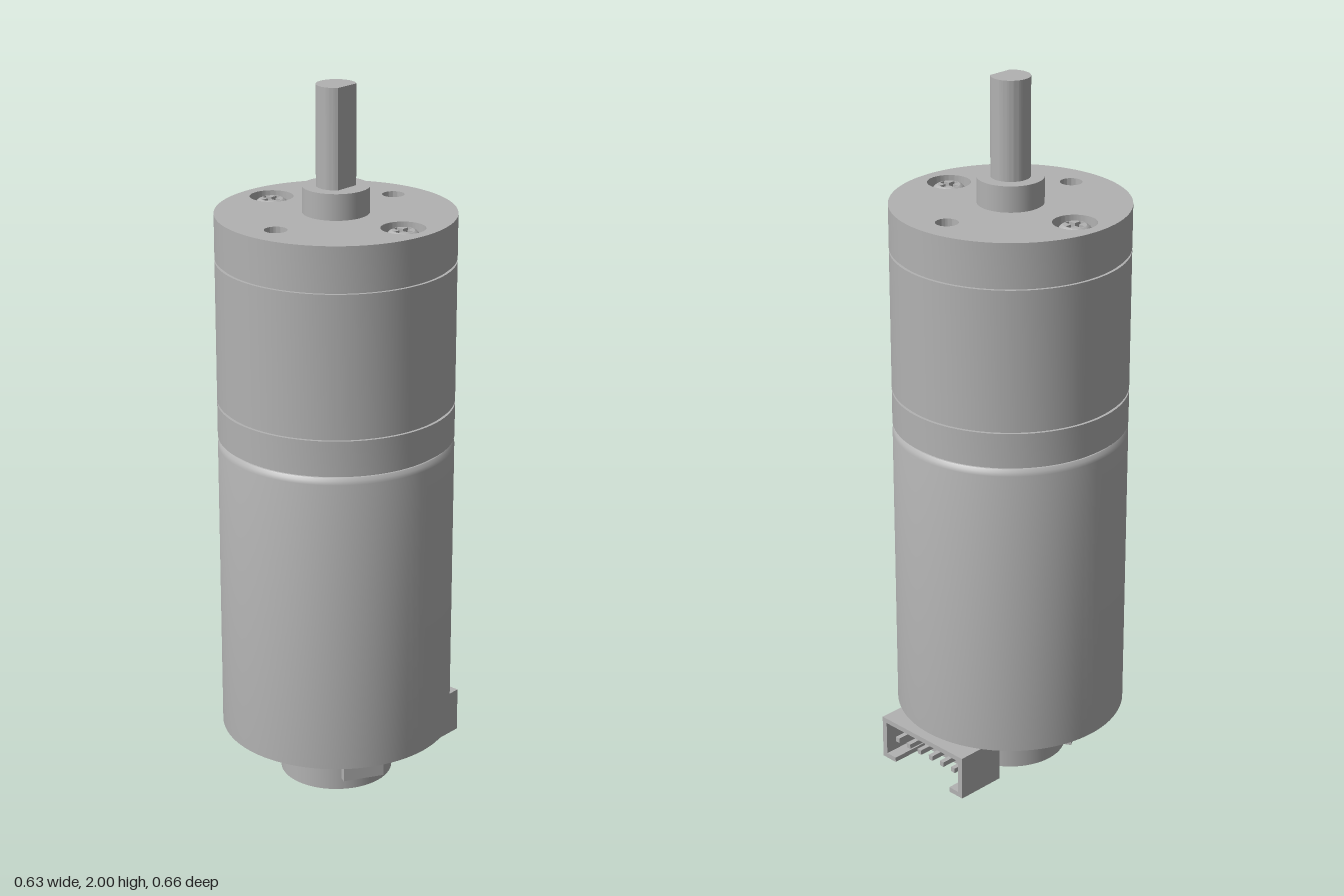
import * as THREE from 'three';
import { toCreasedNormals } from 'three/addons/utils/BufferGeometryUtils.js';

const metal = new THREE.MeshStandardMaterial({ color: 0xb2b2b2 });
metal.name = 'grey metal';

export function createModel() {
  const model = new THREE.Group();
  model.name = 'gearMotor';
  const axis = new THREE.Group();
  axis.name = 'motorAssembly';
  axis.position.z = 0.0125;
  model.add(axis);

  const add = (name, geometry, x = 0, y = 0, z = 0, parent = axis) => {
    const mesh = new THREE.Mesh(geometry, metal);
    mesh.name = name;
    mesh.position.set(x, y, z);
    parent.add(mesh);
    return mesh;
  };
  // Upright cylinder between two heights
  const rod = (name, r, y0, y1, x = 0, z = 0, seg = 32) =>
    add(name, new THREE.CylinderGeometry(r, r, y1 - y0, seg), x, (y0 + y1) / 2, z);
  const box = (name, w, h, d, x, y, z, parent) =>
    add(name, new THREE.BoxGeometry(w, h, d), x, y, z, parent);
  // Turned part from [radius, height] pairs listed bottom to top
  const turn = (name, pts, seg = 96, x = 0, z = 0) =>
    add(name, toCreasedNormals(new THREE.LatheGeometry(
      pts.map(([r, y]) => new THREE.Vector2(r, y)), seg), 0.5), x, 0, z);
  // Flat shape extruded upwards
  const extrudeUp = (name, shape, y0, y1, x = 0, z = 0, seg = 48) => {
    const g = new THREE.ExtrudeGeometry(shape, { depth: y1 - y0, bevelEnabled: false, curveSegments: seg });
    g.rotateX(-Math.PI / 2);
    return add(name, toCreasedNormals(g, 0.5), x, y0, z);
  };
  const circle = (Type, r, x = 0, y = 0) => new Type().absarc(x, y, r, 0, Math.PI * 2, false);

  // Motor can with rounded shoulder
  const R = 0.316;
  turn('motorCan', [[0, 0.21], [R, 0.21], [R, 1.03], [R - 0.003, 1.04], [R - 0.009, 1.047], [R - 0.018, 1.05], [0, 1.05]]);

  // Gearbox rings separated by narrow grooves
  turn('gearbox', [
    [R - 0.012, 1.045], [R - 0.012, 1.056], [R, 1.056], [R, 1.15], [R - 0.008, 1.15], [R - 0.008, 1.157],
    [R, 1.157], [R, 1.54], [R - 0.008, 1.54], [R - 0.008, 1.547], [0, 1.547],
  ]);

  // Front cap with two screw recesses and two mounting holes
  const cap = circle(THREE.Shape, R);
  const P = 0.228;
  for (const s of [-1, 1]) {
    cap.holes.push(circle(THREE.Path, 0.058, s * P, 0));
    cap.holes.push(circle(THREE.Path, 0.03, 0, s * P));
  }
  extrudeUp('frontCap', cap, 1.547, 1.665);

  // Cross-head screws sunk in the recesses
  const a = 0.027, b = 0.007;
  for (const s of [-1, 1]) {
    rod('screwSeat', 0.0585, 1.547, 1.62, s * P);
    turn('screwHead', [[0.047, 1.62], [0.047, 1.635], [0.045, 1.644], [0.041, 1.651], [0.036, 1.656], [0.03, 1.659]], 40, s * P);
    const top = circle(THREE.Shape, 0.03);
    top.holes.push(new THREE.Path([
      [a, b], [b, b], [b, a], [-b, a], [-b, b], [-a, b], [-a, -b], [-b, -b], [-b, -a], [b, -a], [b, -b], [a, -b],
    ].map(([x, y]) => new THREE.Vector2(x, y))));
    extrudeUp('screwCrossRecess', top, 1.635, 1.659, s * P, 0, 20);
    rod('screwCore', 0.03, 1.62, 1.637, s * P);
  }

  // Boss and D-shaped output shaft, flat towards +x
  rod('shaftBoss', 0.088, 1.66, 1.735, 0, 0, 64);
  const r = 0.052, ang = Math.acos(0.038 / r);
  const dShape = new THREE.Shape();
  dShape.absarc(0, 0, r, ang, Math.PI * 2 - ang, false);
  dShape.closePath();
  extrudeUp('outputShaft', dShape, 1.73, 2);

  // Encoder drum and rear shaft
  rod('encoderDrum', 0.155, 0.06, 0.187, 0, 0, 64);
  rod('encoderHub', 0.05, 0.18, 0.215);
  rod('rearShaft', 0.018, 0, 0.07, 0, 0, 24);

  // Rear end nubs
  for (const [x, z] of [[0.245, 0], [-0.245, 0], [0, 0.218], [0, -0.218]])
    rod('rearNub', 0.026, 0.186, 0.215, x, z, 24);

  // Terminal tabs, tangent to the drum at the front corners
  for (const s of [-1, 1]) {
    const tab = box('terminalTab', 0.018, 0.104, 0.115, s * 0.168, 0.16, 0.08);
    tab.rotation.y = -s * 0.52;
  }

  // Connector housing, open to the back and partly below
  const plug = new THREE.Group();
  plug.name = 'connector';
  plug.position.set(-0.001, 0, -0.274);
  axis.add(plug);
  box('connectorRoof', 0.314, 0.014, 0.143, 0, 0.203, 0, plug);
  box('connectorInnerWall', 0.314, 0.125, 0.03, 0, 0.1475, 0.0565, plug);
  for (const s of [-1, 1]) {
    box('connectorSide', 0.016, 0.125, 0.143, s * 0.149, 0.1475, 0, plug);
    box('connectorLip', 0.05, 0.014, 0.143, s * 0.132, 0.092, 0, plug);
  }
  for (let i = 0; i < 6; i++) {
    const x = (i - 2.5) * 0.044;
    box('connectorPin', 0.014, 0.014, 0.11, x, 0.15, -0.005, plug);
    box('connectorPinTail', 0.014, 0.014, 0.06, x, 0.198, 0.09, plug);
  }
  return model;
}
